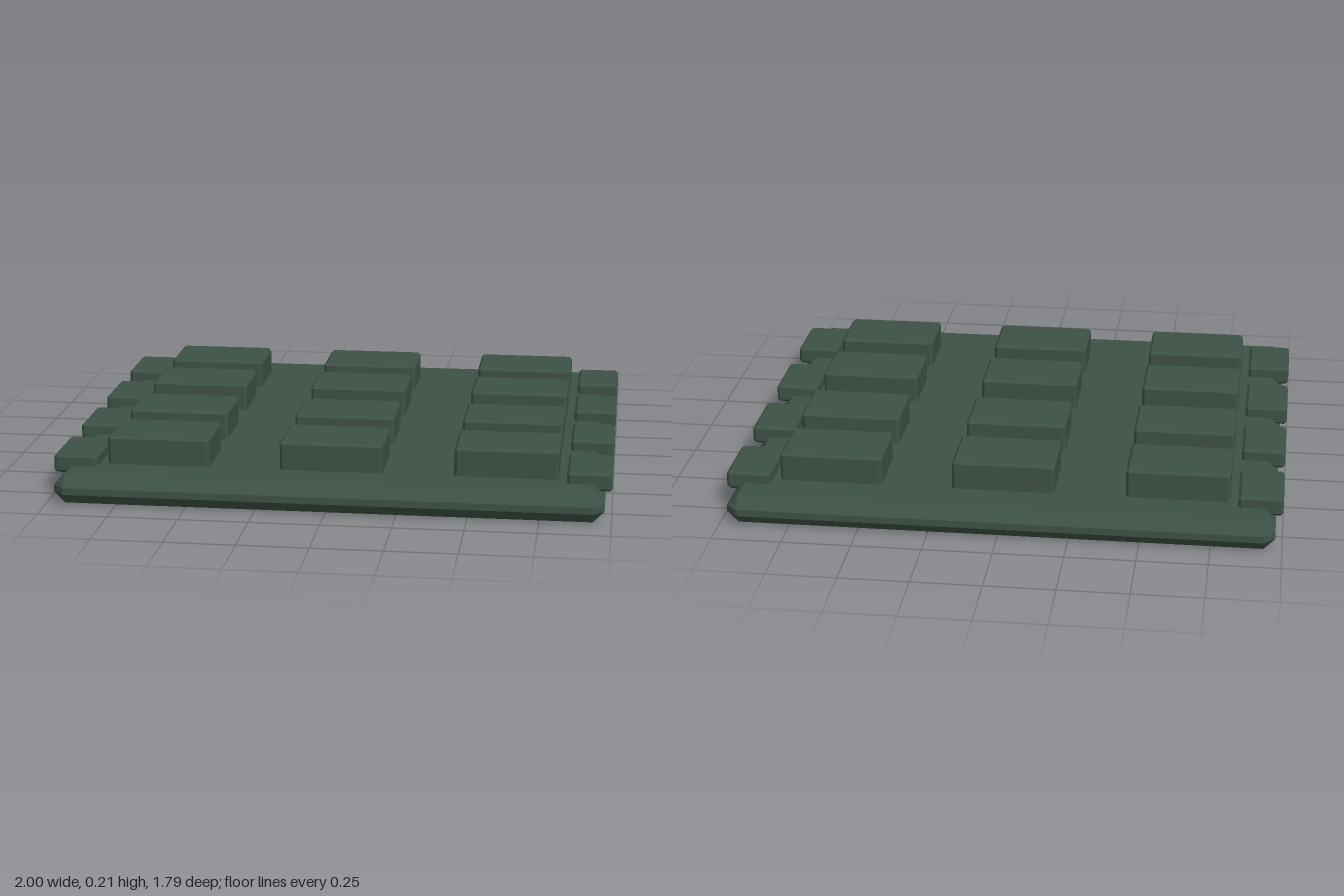
import * as THREE from 'three';
import { ConvexGeometry } from 'three/addons/geometries/ConvexGeometry.js';

const material = new THREE.MeshStandardMaterial({ color: 0x3d5145, flatShading: true });

// Box with every edge cut at 45 degrees by c
function chamferBox(w, h, d, c) {
  const points = [];
  for (const x of [-1, 1]) for (const y of [-1, 1]) for (const z of [-1, 1]) {
    for (const [a, b, e] of [[0, c, c], [c, 0, c], [c, c, 0]]) {
      points.push(new THREE.Vector3(x * (w / 2 - a), y * (h / 2 - b), z * (d / 2 - e)));
    }
  }
  return new ConvexGeometry(points);
}

export function createModel() {
  const model = new THREE.Group();
  model.name = 'studdedPlate';

  const add = (name, geometry, x, y, z) => {
    const mesh = new THREE.Mesh(geometry, material);
    mesh.name = name;
    mesh.position.set(x, y, z);
    model.add(mesh);
  };

  // Base plate with broad bevels
  add('basePlate', chamferBox(1.95, 0.105, 1.786, 0.04), 0, 0.0525, 0);

  // Three columns of four raised blocks
  const block = chamferBox(0.37, 0.13, 0.246, 0.01);
  for (const x of [-0.625, 0, 0.625]) {
    for (const z of [-0.583, -0.208, 0.208, 0.583]) add('raisedBlock', block, x, 0.144, z);
  }

  // Low lugs overhanging the left and right edges
  const lug = chamferBox(0.16, 0.068, 0.246, 0.01);
  for (const x of [-0.92, 0.92]) {
    for (const z of [-0.625, -0.208, 0.208, 0.625]) add('edgeLug', lug, x, 0.112, z);
  }

  return model;
}
